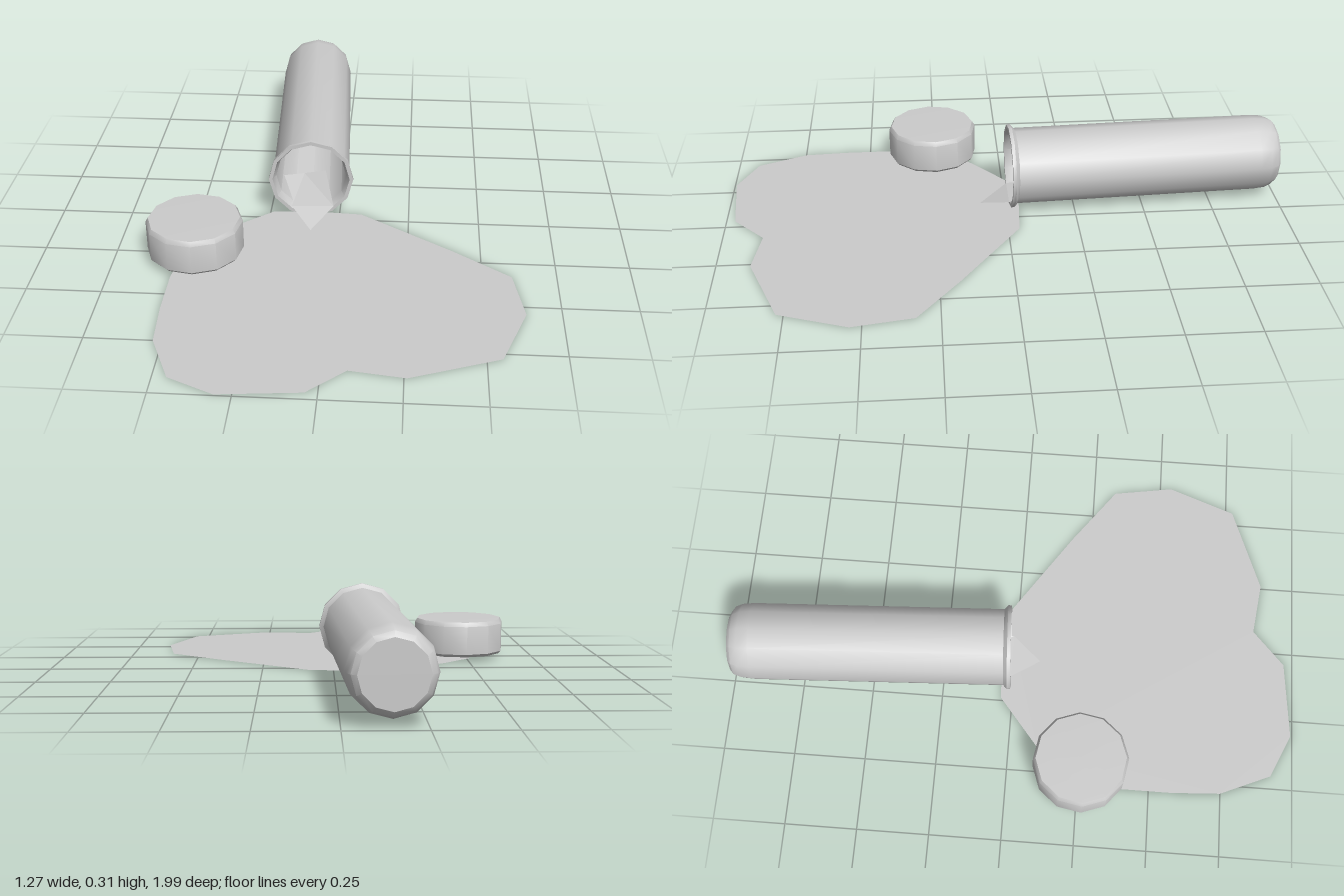
import * as THREE from 'three';
import { toCreasedNormals } from 'three/addons/utils/BufferGeometryUtils.js';

const material = new THREE.MeshStandardMaterial({ color: 0xcccccc, side: THREE.DoubleSide });
const points = (list) => list.map(([a, b]) => new THREE.Vector2(a, b));

function addMesh(parent, name, geometry) {
  const mesh = new THREE.Mesh(geometry, material);
  mesh.name = name;
  parent.add(mesh);
  return mesh;
}

// Twelve-sided turned part, smooth around with sharp rims
const turned = (profile) => toCreasedNormals(new THREE.LatheGeometry(points(profile), 12), 0.6);

export function createModel() {
  const model = new THREE.Group();
  model.name = 'spilledBottle';

  // Puddle: flat outline, given as x and z
  const outline = [
    [-0.24, -0.04], [-0.08, -0.05], [0.08, -0.04], [0.4, 0.18], [0.6, 0.33], [0.635, 0.54],
    [0.55, 0.775], [0.26, 0.885], [0.08, 0.86], [-0.04, 0.97], [-0.305, 0.995],
    [-0.455, 0.925], [-0.53, 0.75], [-0.54, 0.58], [-0.54, 0.4], [-0.51, 0.2], [-0.41, 0.1],
  ];
  const puddle = new THREE.ShapeGeometry(new THREE.Shape(points(outline.map(([x, z]) => [x, -z]))));
  puddle.rotateX(-Math.PI / 2);
  addMesh(model, 'puddle', puddle);

  // Bottle lying down: inside wall, lip, then outside wall to the rounded base
  const bottle = addMesh(model, 'bottle', turned([
    [0, 0.95], [0.1, 0.95], [0.122, 0.9], [0.125, 0.03], [0.137, 0], [0.15, 0], [0.15, 0.012],
    [0.136, 0.025], [0.136, 0.9], [0.132, 0.94], [0.122, 0.965], [0.105, 0.978], [0, 0.978],
  ]).rotateX(-Math.PI / 2));
  bottle.position.set(-0.1, 0.155, -0.014);
  bottle.rotation.y = 0.05;

  // Cap: hollow underneath, with bevelled edges
  const cap = addMesh(model, 'cap', turned([
    [0, 0.125], [0.142, 0.125], [0.142, 0.02], [0.156, 0.02], [0.165, 0.03],
    [0.165, 0.132], [0.156, 0.147], [0, 0.15],
  ]));
  cap.position.set(-0.475, 0, 0.255);
  cap.rotation.y = 0.08;

  // Liquid running out over the lip: a folded tongue ending in a point
  const tip = [-0.095, 0.008, 0.09];
  const left = [-0.17, 0.045, -0.01], middle = [-0.1, 0.015, -0.01], right = [-0.02, 0.05, -0.01];
  const backLeft = [-0.22, 0.09, -0.15], back = [-0.14, 0.075, -0.2], backRight = [-0.06, 0.1, -0.18];
  const floor = [-0.105, 0.02, -0.18];
  const stream = new THREE.BufferGeometry();
  stream.setAttribute('position', new THREE.Float32BufferAttribute([
    tip, right, left, left, right, back, left, back, backLeft, right, backRight, back,
    tip, left, middle, tip, middle, right, left, floor, middle, middle, floor, right,
  ].flat(), 3));
  stream.computeVertexNormals();
  addMesh(model, 'pouringLiquid', stream);

  return model;
}
